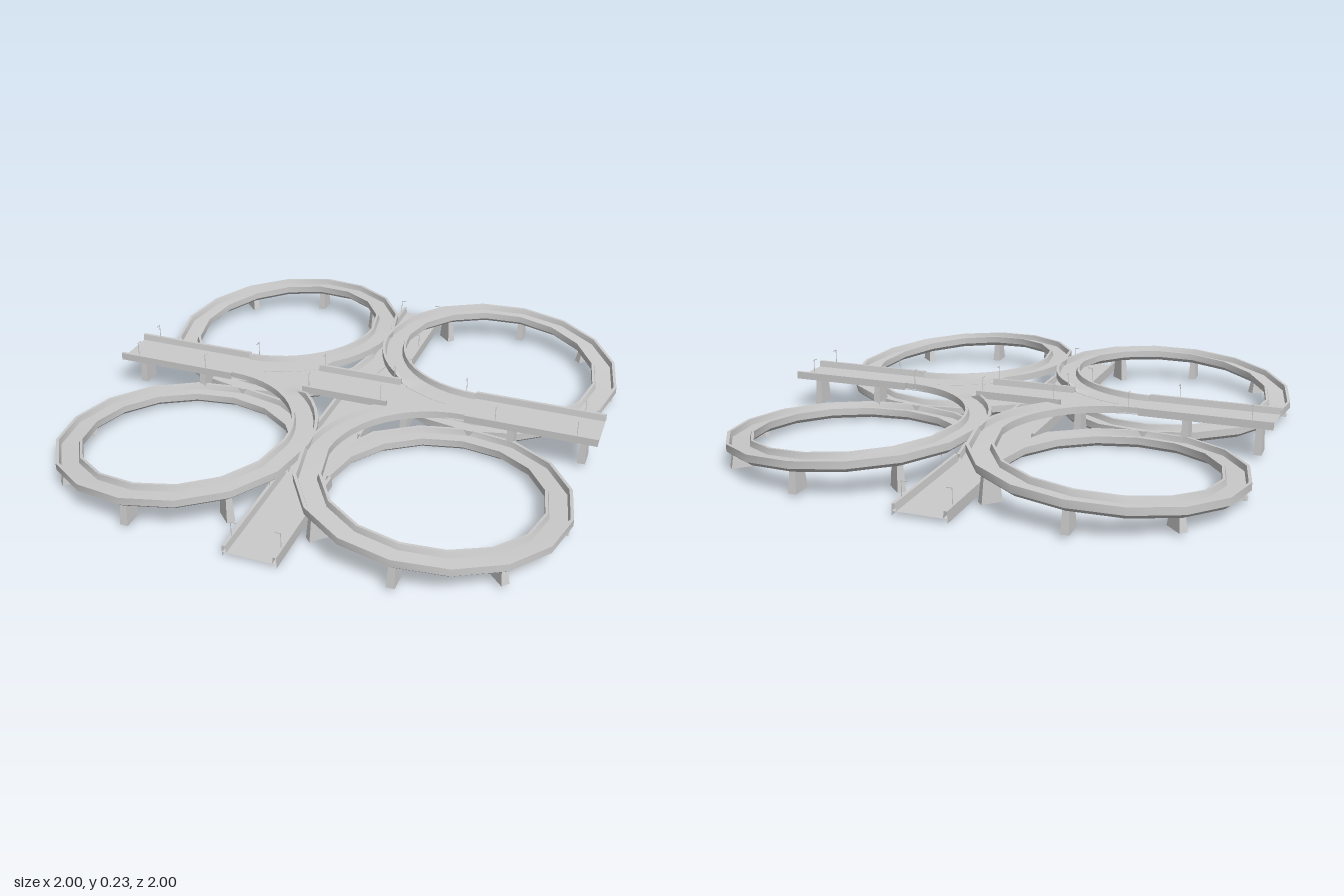
import * as THREE from 'three';
import { toCreasedNormals } from 'three/addons/utils/BufferGeometryUtils.js';

const material = new THREE.MeshStandardMaterial({ color: 0xcccccc, side: THREE.DoubleSide });
const C = 0.49;            // centre of each loop, in x and z
const R_MID = 0.45;        // centre line radius of the loop road
const RAD = Math.PI / 180;

function addMesh(parent, geometry, name) {
  const mesh = new THREE.Mesh(geometry, material);
  mesh.name = name;
  parent.add(mesh);
  return mesh;
}

// Skin a list of cross-sections, each a list of [x, y, z] points
function skin(rows, flip) {
  const n = rows[0].length, index = [];
  for (let i = 0; i < rows.length - 1; i++) {
    for (let j = 0; j < n - 1; j++) {
      const a = i * n + j, b = a + 1, c = a + n, d = c + 1;
      if (flip) index.push(a, c, b, b, c, d);
      else index.push(a, b, c, b, d, c);
    }
  }
  const g = new THREE.BufferGeometry();
  g.setAttribute('position', new THREE.Float32BufferAttribute(rows.flat(2), 3));
  g.setIndex(index);
  return toCreasedNormals(g, 0.6);
}

// Rim height of a loop at angle s: level, a long fall, then level on the ground
const fall = new THREE.CatmullRomCurve3(
  [[0, 0.168], [90, 0.138], [180, 0.078], [270, 0.048], [360, 0.045]]
    .map(([s, y]) => new THREE.Vector3(s, y, 0)));
function rimHeight(s) {
  return s <= 0 ? 0.168 : fall.getPoint(Math.min(s / 360, 1)).y;
}

// Loop cross-section: two parapets, the roadway and a tapered underside
function rampSection(s) {
  const rim = rimHeight(s);
  const deck = Math.max(rim - 0.022, 0.02);
  const bottom = s <= 0 ? rim - 0.028 : Math.max(rim - 0.045, 0);
  // the outer parapet opens where the loop joins a straight road
  const outer = s < -51 || s > 321 ? deck : rim;
  const side = Math.min(deck, Math.max(bottom, rim - 0.028));
  return [[0.5, side], [0.5, outer], [0.488, outer], [0.482, deck], [0.416, deck],
    [0.41, rim], [0.4, rim], [0.4, side], [0.42, bottom], [0.48, bottom], [0.5, side]];
}

function place(sx, sz, r, s) {
  return [sx * (C - r * Math.cos(s * RAD)), sz * (C + r * Math.sin(s * RAD))];
}

// Tapered support, wide across the road, standing from y0 up to y1
function addPier(parent, x, z, y0, y1, turn, width = 0.055) {
  const g = new THREE.BoxGeometry(width, y1 - y0, 0.022);
  const p = g.attributes.position;
  for (let i = 0; i < p.count; i++) {
    if (p.getY(i) < 0) {
      p.setX(i, p.getX(i) * 1.4);
      p.setZ(i, p.getZ(i) * 1.4);
    }
  }
  g.computeVertexNormals();
  const pier = addMesh(parent, g, 'pier');
  pier.position.set(x, (y0 + y1) / 2, z);
  pier.rotation.y = turn;
}

function createLoop(sx, sz) {
  const loop = new THREE.Group();
  loop.name = 'loopRamp';
  // fine steps on the upper quarter, sixteen sides on the falling turn
  const angles = [];
  for (let s = -90; s < 0; s += 7.5) angles.push(s);
  for (let s = 0; s <= 360; s += 22.5) angles.push(s);
  const rows = angles.map((s) => rampSection(s).map(([r, y]) => {
    const [x, z] = place(sx, sz, r, s);
    return [x, y, z];
  }));
  addMesh(loop, skin(rows, sx * sz < 0), 'rampRoadway');
  // supports
  for (const s of [45, 90, 135, 180]) {
    const [x, z] = place(sx, sz, R_MID, s);
    const dx = x - sx * C, dz = z - sz * C;
    addPier(loop, x, z, 0.015, rimHeight(s) - 0.035, Math.atan2(-dz, dx));
  }
  return loop;
}

// Straight road along x: a thin deck with parapets that open for the loops
function createRoad(name, deck, low, rim) {
  const road = new THREE.Group();
  road.name = name;
  const strip = (section, x0, x1, part) =>
    addMesh(road, skin([x0, x1].map((x) => section.map(([z, y]) => [x, y, z]))), part);
  strip([[-0.1, deck], [0.1, deck]], -1, 1, 'deck');
  for (const sz of [-1, 1]) {
    const wall = [[0.1, low], [0.1, rim], [0.088, rim], [0.084, deck]]
      .map(([z, y]) => [sz * z, y]);
    for (const [x0, x1] of [[-1, -0.49], [-0.177, 0.177], [0.49, 1]]) {
      strip(wall, x0, x1, 'parapet');
    }
  }
  return road;
}

// Street light: thin pole with a short arm over the road
function addLight(parent, x, z, y0, height) {
  const light = new THREE.Group();
  light.name = 'streetLight';
  const pole = addMesh(light, new THREE.BoxGeometry(0.002, height, 0.002), 'pole');
  pole.position.y = height / 2;
  const arm = addMesh(light, new THREE.BoxGeometry(0.003, 0.003, 0.022), 'lampArm');
  arm.position.set(0, height, -Math.sign(z) * 0.01);
  light.position.set(x, y0, z);
  parent.add(light);
}

export function createModel() {
  const model = new THREE.Group();
  model.name = 'interchange';

  // elevated road, with its supports and lights
  const upper = createRoad('upperRoad', 0.145, 0.14, 0.17);
  for (const side of [-1, 1]) {
    for (const x of [0.23, 0.66, 0.94]) {
      addPier(upper, side * x, 0, 0.015, 0.144, Math.PI / 2);
    }
    for (const x of [0.15, 0.61, 0.92]) addLight(upper, side * x, 0.092, 0.145, 0.08);
    for (const x of [0.15, 0.45, 0.92]) addLight(upper, side * x, -0.092, 0.145, 0.08);
  }
  model.add(upper);

  // ground road crossing beneath
  const lower = createRoad('lowerRoad', 0.018, 0.002, 0.045);
  lower.rotation.y = Math.PI / 2;
  for (const side of [-1, 1]) {
    for (const x of [0.62, 0.94]) {
      addLight(lower, side * x, 0.092, 0.018, 0.085);
      addLight(lower, side * x, -0.092, 0.018, 0.085);
    }
  }
  model.add(lower);

  // four loops
  for (const sx of [-1, 1]) for (const sz of [-1, 1]) model.add(createLoop(sx, sz));
  return model;
}
